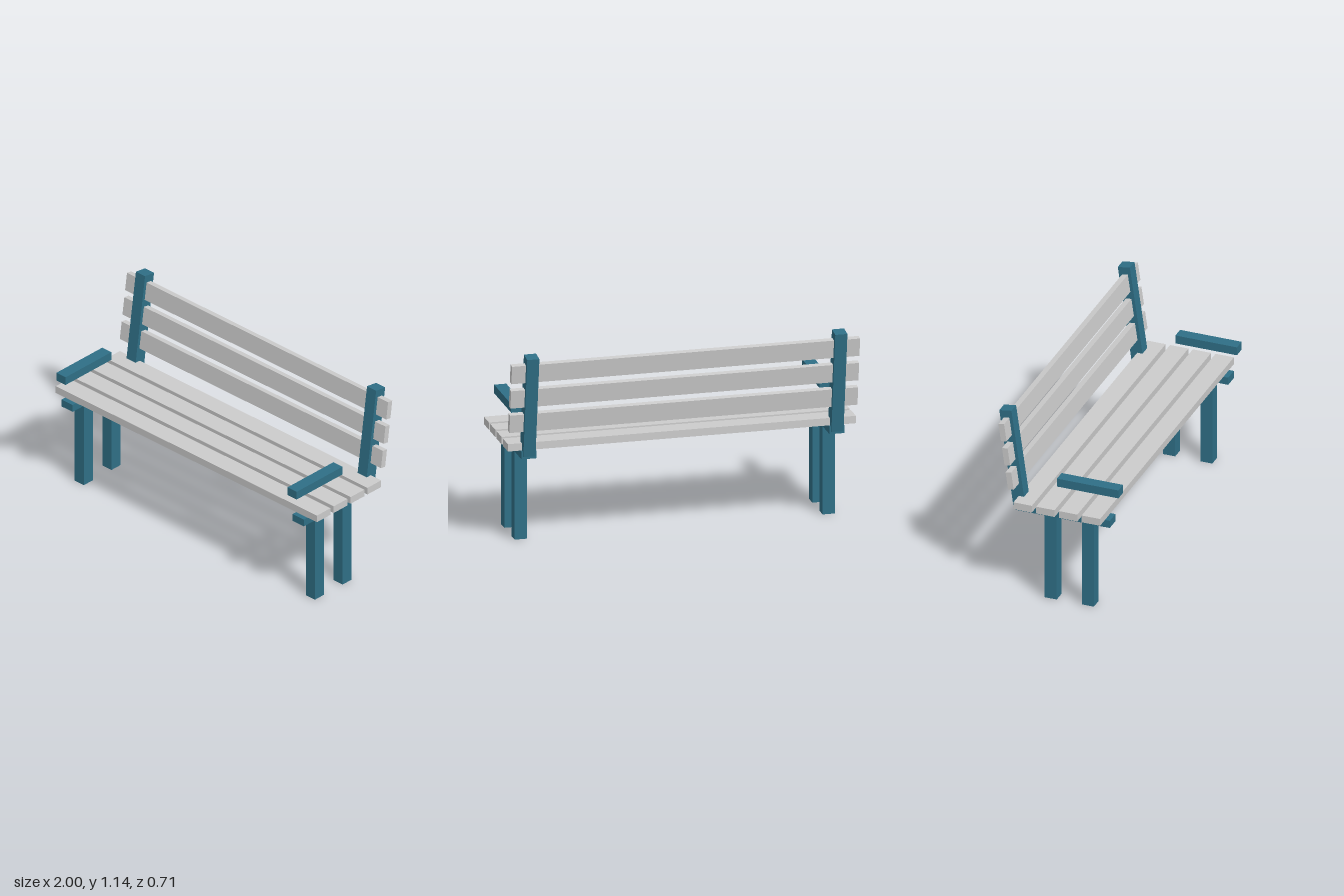
import * as THREE from 'three';

export function createModel() {
  const bench = new THREE.Group();
  bench.name = 'bench';
  const wood = new THREE.MeshStandardMaterial({ color: 0xcccccc });
  const frame = new THREE.MeshStandardMaterial({ color: 0x2f6f86 });

  function box(parent, name, material, size, position) {
    const mesh = new THREE.Mesh(new THREE.BoxGeometry(...size), material);
    mesh.name = name;
    mesh.position.set(...position);
    parent.add(mesh);
  }

  // Four planks across the seat
  for (let i = 0; i < 4; i++) {
    box(bench, 'seatSlat' + (i + 1), wood, [2, 0.043, 0.11], [0, 0.5895, 0.225 - i * 0.136]);
  }

  // Reclined backrest: its slats pass through the posts
  const backrest = new THREE.Group();
  backrest.name = 'backrest';
  backrest.position.set(0, 0.84, -0.276);
  backrest.rotation.x = -0.142;
  bench.add(backrest);
  for (let i = 0; i < 3; i++) {
    box(backrest, 'backSlat' + (i + 1), wood, [2, 0.107, 0.034], [0, -0.1 + i * 0.1505, 0.001]);
  }

  // Frame at each end
  for (const [side, s] of [['left', 1], ['right', -1]]) {
    const x = s * 0.885;
    box(bench, side + 'FrontLeg', frame, [0.07, 0.523, 0.072], [x, 0.2615, 0.175]);
    box(bench, side + 'RearLeg', frame, [0.07, 0.523, 0.072], [x, 0.2615, -0.047]);
    box(bench, side + 'SeatRail', frame, [0.085, 0.045, 0.568], [x, 0.5455, 0.025]);
    box(bench, side + 'Armrest', frame, [0.07, 0.05, 0.368], [x, 0.742, 0.174]);
    box(backrest, side + 'BackPost', frame, [0.07, 0.598, 0.073], [x, 0, 0]);
  }
  return bench;
}
